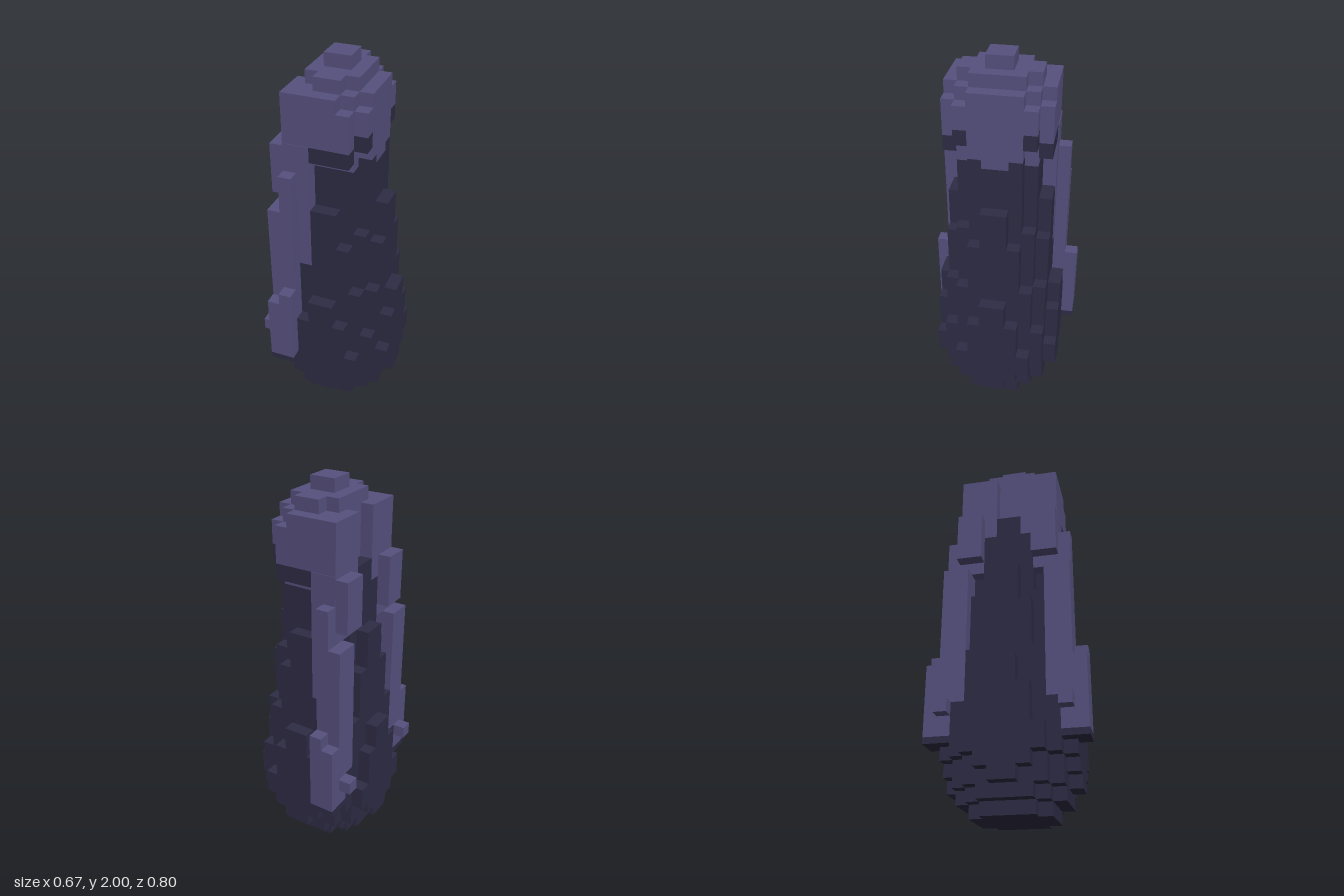
import * as THREE from 'three';

const V = 1 / 15; // one block
const hair = new THREE.MeshStandardMaterial({ color: 0x57517f });
const robe = new THREE.MeshStandardMaterial({ color: 0x2e2c45 });
hair.name = 'dusty violet';
robe.name = 'dark indigo';

// box from block limits
function block(parent, name, mat, x0, x1, y0, y1, z0, z1) {
  const g = new THREE.BoxGeometry((x1 - x0) * V, (y1 - y0) * V, (z1 - z0) * V);
  const m = new THREE.Mesh(g, mat);
  m.position.set((x0 + x1) / 2 * V, (y0 + y1) / 2 * V, (z0 + z1) / 2 * V);
  m.name = name;
  parent.add(m);
}

// the same box on both sides of z = 0
function pair(parent, name, mat, x0, x1, y0, y1, z0, z1) {
  block(parent, name, mat, x0, x1, y0, y1, z0, z1);
  block(parent, name, mat, x0, x1, y0, y1, -z1, -z0);
}

function part(parent, name) {
  const g = new THREE.Group();
  g.name = name;
  parent.add(g);
  return g;
}

export function createModel() {
  const model = new THREE.Group();
  model.name = 'hoodedFigure';

  // stepped body: crossing slabs as [reach, half width, bottom, top]
  const body = part(model, 'body');
  const slabs = [
    [5, 1, 2, 11], [5, 2, 3, 9], [5, 3, 4, 6],
    [4, 1, 1, 19], [4, 2, 1, 16], [4, 3, 2, 12], [4, 4, 4, 8],
    [3, 2, 0, 22.3], [3, 3, 1, 17],
  ];
  for (const [a, b, y0, y1] of slabs) {
    block(body, 'bodySlab', robe, -a, a, y0, y1, -b, b);
    if (a !== b) block(body, 'bodySlab', robe, -b, b, y0, y1, -a, a);
  }
  block(body, 'nape', robe, -3, -2, 22.3, 24, -1, 1);
  pair(body, 'cheek', robe, 2, 3, 22.3, 23, 1, 2);

  // hood with stepped crown
  const hood = part(model, 'hood');
  block(hood, 'hoodCore', hair, -2, 3, 23, 28, -2, 2);
  block(hood, 'hoodWide', hair, -2, 2, 22.3, 28, -3, 3);
  block(hood, 'brow', hair, 2, 3, 22.3, 23, -1, 1);
  pair(hood, 'hoodBack', hair, -3, -2, 22.3, 28, 1, 2);
  pair(hood, 'hoodCorner', hair, -3, -2, 19, 28, 2, 3);
  pair(hood, 'hoodSide', hair, -3, 1, 24.2, 28, 3, 4);
  pair(hood, 'hoodSideFront', hair, 1, 2, 24.2, 27, 3, 4);
  pair(hood, 'sideRim', robe, -1, 2, 23, 24.2, 3, 4);
  pair(hood, 'frontCorner', hair, 2, 3, 25.2, 27, 2, 3);
  pair(hood, 'frontRim', robe, 2, 3, 24, 25.2, 2, 3);
  block(hood, 'crown', hair, -2, 2, 28, 29, -2, 2);
  block(hood, 'crownWide', hair, -1, 1, 28, 29, -3, 3);
  block(hood, 'crownTip', hair, -1, 1, 29, 30, -1, 1);

  // long locks hanging down both sides
  const locks = part(model, 'locks');
  pair(locks, 'innerLock', hair, -3, -1, 14, 24.2, 3, 4.04);
  pair(locks, 'backTuft', hair, -4, -3, 20, 24, 2, 4);
  pair(locks, 'backLock', hair, -4, -3, 8, 19, 3, 4);
  pair(locks, 'middleLock', hair, -3, -2, 5.5, 22, 4, 5);
  pair(locks, 'middleLockBack', hair, -4, -3, 5.5, 19, 4, 5);
  pair(locks, 'outerLock', hair, -3, -2, 5.5, 12, 5, 6);
  pair(locks, 'outerLockBack', hair, -4, -3, 5.5, 11, 5, 6);
  pair(locks, 'lockEnd', robe, -4, -2, 5, 5.5, 4, 6);
  pair(locks, 'curl', hair, -5, -4, 7, 8, 4, 5);

  return model;
}
